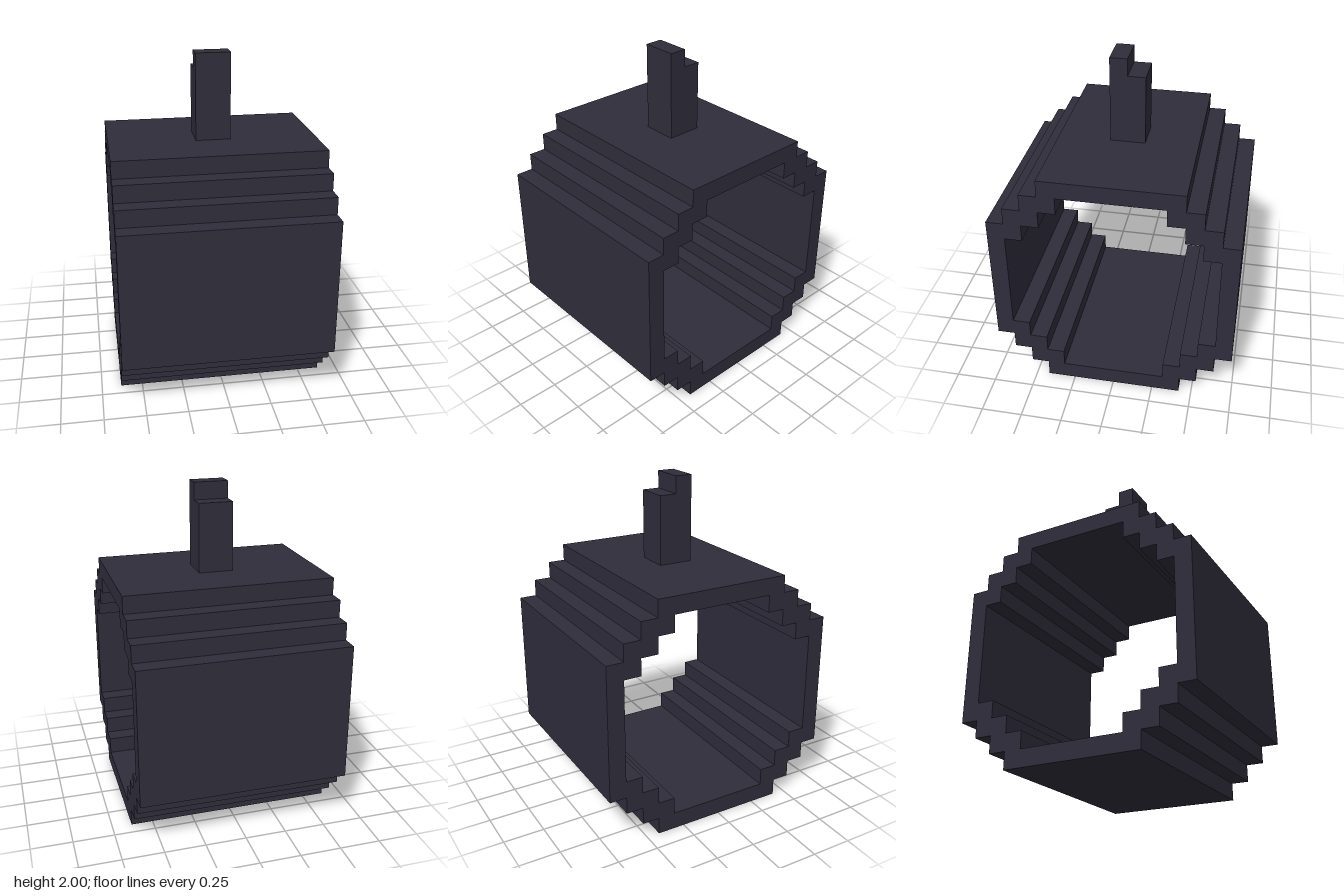
import * as THREE from 'three';

const U = 2 / 19; // one block

// Extrude a (z, y) outline along x, centred on x = 0
function extrudeAlongX(shape, width) {
  const geo = new THREE.ExtrudeGeometry(shape, { depth: width, bevelEnabled: false });
  geo.translate(0, 0, -width / 2);
  geo.rotateY(-Math.PI / 2);
  geo.scale(U, U, U);
  return geo;
}

// Mirror one stepped corner into a closed ring around y = 7 blocks
function ring(corner) {
  const half = [...corner, ...corner.map(([z, y]) => [-z, y]).reverse()];
  const full = [...half, ...half.map(([z, y]) => [-z, -y])];
  return full.map(([z, y]) => new THREE.Vector2(z, y + 7));
}

export function createModel() {
  const group = new THREE.Group();
  const charcoal = new THREE.MeshStandardMaterial({ color: 0x2f2d3b });
  charcoal.name = 'charcoal';

  const add = (name, shape, width) => {
    const mesh = new THREE.Mesh(extrudeAlongX(shape, width), charcoal);
    mesh.name = name;
    group.add(mesh);
  };

  // Open stepped tube, one block thick
  const tube = new THREE.Shape(ring([[7, 4], [6, 4], [6, 5], [5, 5], [5, 6], [4, 6], [4, 7]]));
  tube.holes.push(new THREE.Path(ring([[6, 3], [5, 3], [5, 4], [4, 4], [4, 5], [3, 5], [3, 6]])));
  add('steppedTube', tube, 12);

  // Post on top, with a step at the back
  const post = new THREE.Shape(
    [[-1, 14], [1, 14], [1, 19], [0, 19], [0, 18], [-1, 18]].map(([z, y]) => new THREE.Vector2(z, y))
  );
  add('topPost', post, 2);

  return group;
}
